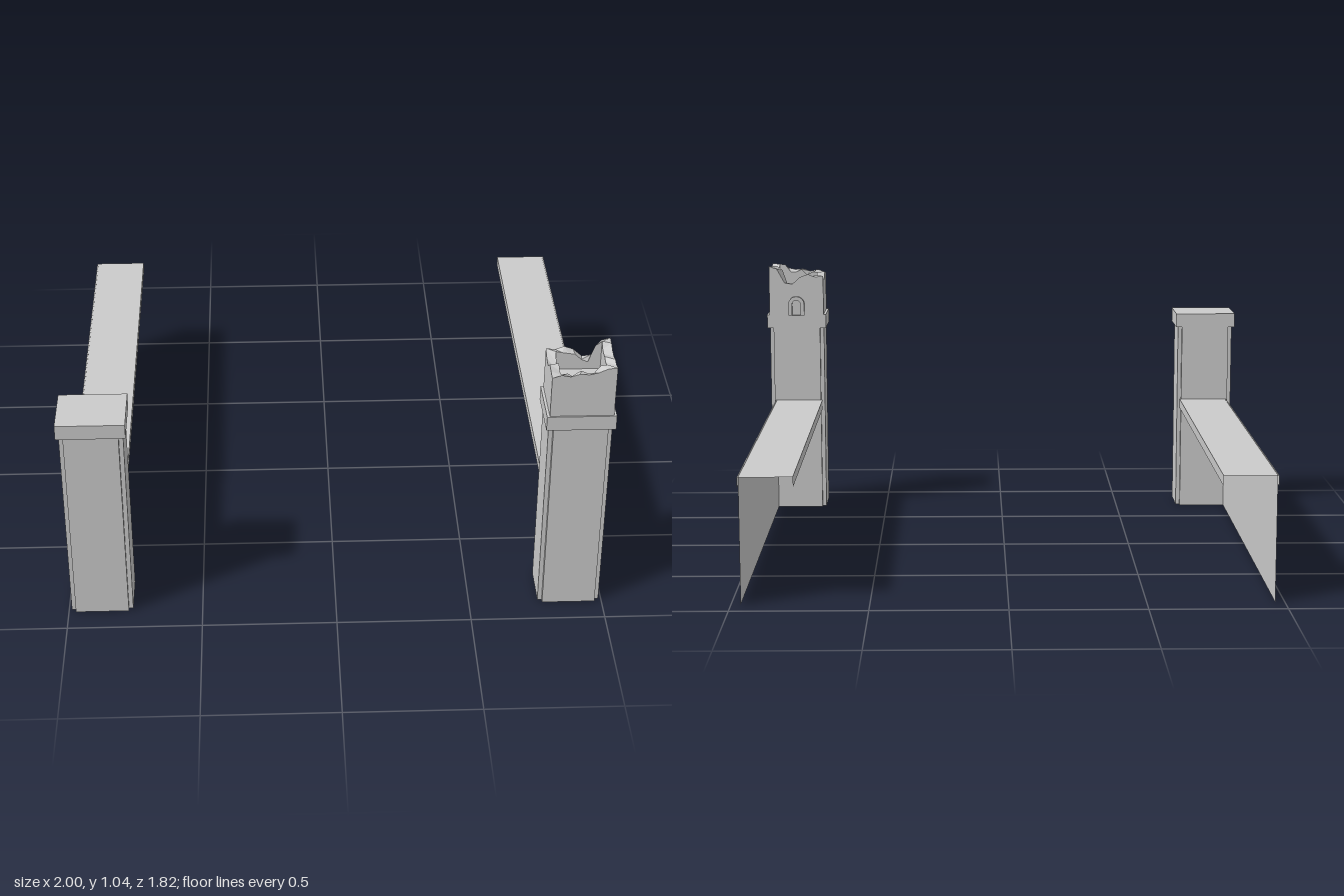
import * as THREE from 'three';

const grey = new THREE.MeshStandardMaterial({ color: 0xcccccc, flatShading: true, side: THREE.DoubleSide });

// Skin a list of equal-length rows of [x, y, z] points with flat quads
function loft(rows, closed) {
  const pos = [];
  for (let r = 0; r < rows.length - 1; r++) {
    const a = rows[r], b = rows[r + 1], n = a.length;
    for (let i = 0; i < (closed ? n : n - 1); i++) {
      const j = (i + 1) % n;
      pos.push(...a[i], ...a[j], ...b[j], ...a[i], ...b[j], ...b[i]);
    }
  }
  const g = new THREE.BufferGeometry();
  g.setAttribute('position', new THREE.Float32BufferAttribute(pos, 3));
  g.computeVertexNormals();
  return g;
}

function add(parent, name, geometry, x = 0, y = 0, z = 0) {
  const mesh = new THREE.Mesh(geometry, grey);
  mesh.name = name;
  mesh.position.set(x, y, z);
  parent.add(mesh);
  return mesh;
}

const POST_X = 0.875, POST_Z = 0.808, HW = 0.115, HD = 0.097;

// Hollow shaft with a small square notch down each corner
function shaftGeometry() {
  const n = 0.016;
  const quarter = [[HW - n, HD], [HW - n, HD - n], [HW, HD - n]];
  const section = [];
  for (const [sx, sz] of [[1, 1], [1, -1], [-1, -1], [-1, 1]]) {
    const pts = quarter.map(([x, z]) => [x * sx, z * sz]);
    section.push(...(sx * sz > 0 ? pts : pts.reverse()));
  }
  return loft([0, 0.79].map(y => section.map(([x, z]) => [x, y, z])), true);
}

// Broken hollow block: rim heights along each side, anticlockwise from front left
function crownGeometry() {
  const sides = [
    { from: [-1, 1], to: [1, 1], h: [1.0, 1.012, 1.005, 1.015, 1.012, 1.02, 1.035] },
    { from: [1, 1], to: [1, -1], h: [1.038, 1.03, 1.034, 1.026, 1.03, 1.042] },
    { from: [1, -1], to: [-1, -1], h: [1.045, 1.035, 0.975, 0.97, 1.0, 1.012, 1.0] },
    { from: [-1, -1], to: [-1, 1], h: [1.005, 0.985, 0.98, 1.01, 1.004] },
  ];
  const outerLow = [], outerTop = [], innerTop = [], innerLow = [];
  for (const { from, to, h } of sides) {
    h.forEach((y, i) => {
      const t = i / h.length;
      const u = from[0] + (to[0] - from[0]) * t, v = from[1] + (to[1] - from[1]) * t;
      const dip = 0.008 * (i % 3);
      outerLow.push([u * HW, 0.83, v * HD]);
      outerTop.push([u * HW, y, v * HD]);
      innerTop.push([u * (HW - 0.033), y - dip, v * (HD - 0.024)]);
      innerLow.push([u * (HW - 0.033), 0.93, v * (HD - 0.024)]);
    });
  }
  return loft([outerLow, outerTop, innerTop, innerLow], true);
}

// Small arched surround
function archGeometry() {
  const outline = (path, r, spring) => {
    path.moveTo(-r, 0);
    path.lineTo(r, 0);
    path.lineTo(r, spring);
    path.absarc(0, spring, r, 0, Math.PI, false);
    path.lineTo(-r, 0);
    return path;
  };
  const shape = outline(new THREE.Shape(), 0.034, 0.046);
  shape.holes.push(outline(new THREE.Path(), 0.018, 0.046));
  return new THREE.ExtrudeGeometry(shape, { depth: 0.018, bevelEnabled: false, curveSegments: 8 });
}

export function createModel() {
  const model = new THREE.Group();
  model.name = 'gateway';

  for (const side of [-1, 1]) {
    const half = new THREE.Group();
    half.name = side > 0 ? 'leftSide' : 'rightSide';
    model.add(half);

    // Gate post and cap
    add(half, 'postShaft', shaftGeometry(), side * POST_X, 0, POST_Z);
    add(half, 'postCap', new THREE.BoxGeometry(0.25, 0.057, 0.206), side * POST_X, 0.811, POST_Z);

    // Thin wall under the outer edge of the coping
    const wall = add(half, 'wallPanel', new THREE.PlaneGeometry(1.622, 0.47), side * 0.965, 0.235, -0.099);
    wall.rotation.y = side * Math.PI / 2;

    // Coping: a channel open below
    const profile = [[0.77, 0.43], [0.77, 0.468], [0.97, 0.468], [0.97, 0.43]];
    const rows = [0.712, -0.91].map(z => profile.map(([x, y]) => [side * x, y, z]));
    add(half, 'wallCoping', loft(rows, false));
  }

  // Broken block on the left post
  const crown = new THREE.Group();
  crown.name = 'brokenBlock';
  crown.position.set(POST_X, 0, POST_Z);
  add(crown, 'brokenWalls', crownGeometry());
  const floor = add(crown, 'blockFloor', new THREE.PlaneGeometry(2 * HW - 0.066, 2 * HD - 0.048), 0, 0.93, 0);
  floor.rotation.x = -Math.PI / 2;
  add(crown, 'backArch', archGeometry(), 0, 0.838, -HD - 0.016);
  model.add(crown);

  return model;
}
